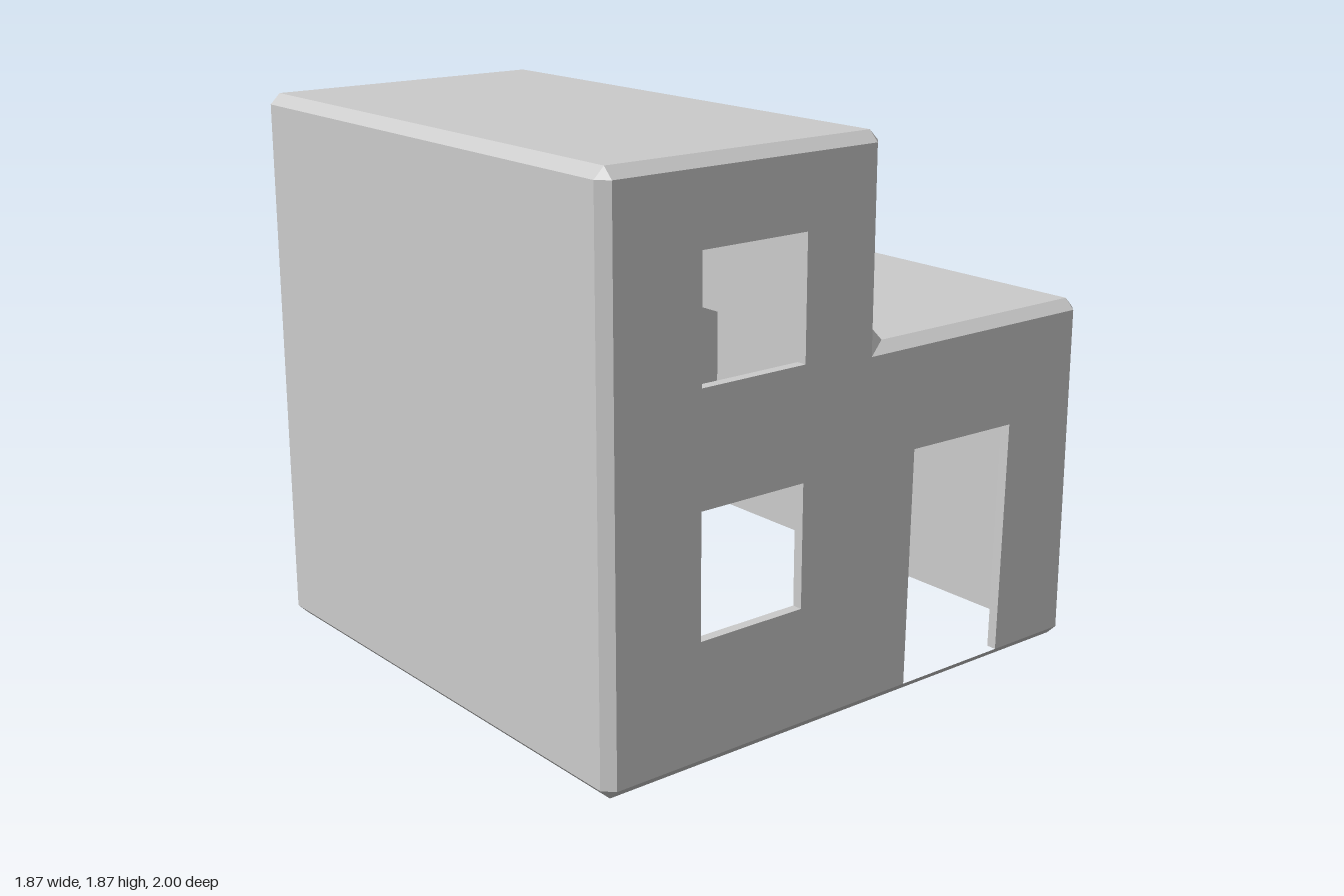
import * as THREE from 'three';

// Profiles are [u, y] seen from the +x side, so u = -z.
const BEVEL = 0.035;
const HALF = 0.935;
const INNER = HALF - BEVEL;

const outline = [[-0.965, BEVEL], [0.965, BEVEL], [0.965, 1.175], [0.025, 1.175], [0.025, 1.835], [-0.965, 1.835]];
const door = [[0.212, BEVEL], [0.226, 0.838], [0.672, 0.832], [0.654, BEVEL]];
const windows = [[0.42, 0.828], [1.2, 1.602]].map(([lo, hi]) =>
  [[-0.65, lo], [-0.25, lo], [-0.25, hi], [-0.65, hi]]);

// The room follows the outline but runs down to the ground
const toGround = (pts) => pts.map(([u, y]) => [u, y === BEVEL ? 0 : y]);
const withDoor = (pts) => [pts[0], ...door, ...pts.slice(1)];

const material = new THREE.MeshStandardMaterial({ color: 0xcccccc });
const at = ([u, y], x) => [x, y, -u];

// Flat-shaded mesh from convex polygons
function polyMesh(name, polys) {
  const pos = [];
  for (const p of polys)
    for (let i = 1; i < p.length - 1; i++) pos.push(...p[0], ...p[i], ...p[i + 1]);
  const geo = new THREE.BufferGeometry();
  geo.setAttribute('position', new THREE.Float32BufferAttribute(pos, 3));
  geo.computeVertexNormals();
  const mesh = new THREE.Mesh(geo, material);
  mesh.name = name;
  return mesh;
}

// Flat wall across x, facing +x or -x
function wall(name, points, holes, x, facing) {
  const toVec = ([u, y]) => new THREE.Vector2(u, y);
  const shape = new THREE.Shape(points.map(toVec));
  shape.holes = holes.map((h) => new THREE.Path(h.map(toVec)));
  const geo = new THREE.ShapeGeometry(shape).rotateY(Math.PI / 2).translate(x, 0, 0);
  if (facing < 0) {
    geo.setIndex(Array.from(geo.index.array).reverse());
    geo.computeVertexNormals();
  }
  const mesh = new THREE.Mesh(geo, material);
  mesh.name = name;
  return mesh;
}

// Strip swept along x from an open path; facing outward, or inward when flipped
function sweep(path, x0, x1, inward) {
  return path.slice(1).map((b, i) => {
    const a = path[i];
    const q = [at(a, x1), at(a, x0), at(b, x0), at(b, x1)];
    return inward ? q.reverse() : q;
  });
}

// Each corner of the outline splits into two chamfer points
function chamferRing() {
  const n = outline.length;
  const dir = (p, q) => {
    const l = Math.hypot(q[0] - p[0], q[1] - p[1]);
    return [(q[0] - p[0]) / l, (q[1] - p[1]) / l];
  };
  return outline.map((c, i) => {
    const d0 = dir(outline[(i + n - 1) % n], c);
    const d1 = dir(c, outline[(i + 1) % n]);
    const s = d0[0] * d1[1] - d0[1] * d1[0] < 0 ? 0.075 : 0; // step corner
    return [
      [c[0] + d0[1] * BEVEL - d0[0] * s, c[1] - d0[0] * BEVEL - d0[1] * s],
      [c[0] + d1[1] * BEVEL + d1[0] * s, c[1] - d1[0] * BEVEL + d1[1] * s],
    ];
  });
}

export function createModel() {
  const group = new THREE.Group();
  group.name = 'steppedHouse';
  const ring = chamferRing();
  const room = toGround(outline);

  // Front, back, roofs and step; the underside stays open
  const shellPath = [...ring.slice(1), ring[0]].flat();
  group.add(polyMesh('outerShell', sweep(shellPath, -INNER, INNER, false)));

  // Chamfers around both side walls
  const edges = [];
  outline.forEach((c, i) => {
    const j = (i + 1) % outline.length;
    for (const s of [1, -1]) {
      const strip = [at(c, s * HALF), at(ring[i][1], s * INNER), at(ring[j][0], s * INNER), at(outline[j], s * HALF)];
      const corner = [at(c, s * HALF), at(ring[i][0], s * INNER), at(ring[i][1], s * INNER)];
      for (const p of [strip, corner]) edges.push(s > 0 ? p : p.reverse());
    }
  });
  group.add(polyMesh('sideChamfers', edges));

  // Side walls
  group.add(wall('openSideWall', withDoor(outline), windows, HALF, 1));
  group.add(wall('plainSideWall', outline, [], -HALF, -1));

  // Window and door reveals
  windows.forEach((w, i) =>
    group.add(polyMesh(i ? 'upperWindowReveal' : 'lowerWindowReveal', sweep([...w, w[0]], INNER, HALF, true))));
  group.add(polyMesh('doorReveal', sweep(door, INNER, HALF, false)));

  // Room lining, open at the floor
  group.add(polyMesh('roomLining', sweep([...room.slice(1), room[0]], -INNER, INNER, true)));
  group.add(wall('innerOpenWall', toGround(withDoor(outline)), windows, INNER, -1));
  group.add(wall('innerPlainWall', room, [], -INNER, 1));
  return group;
}
